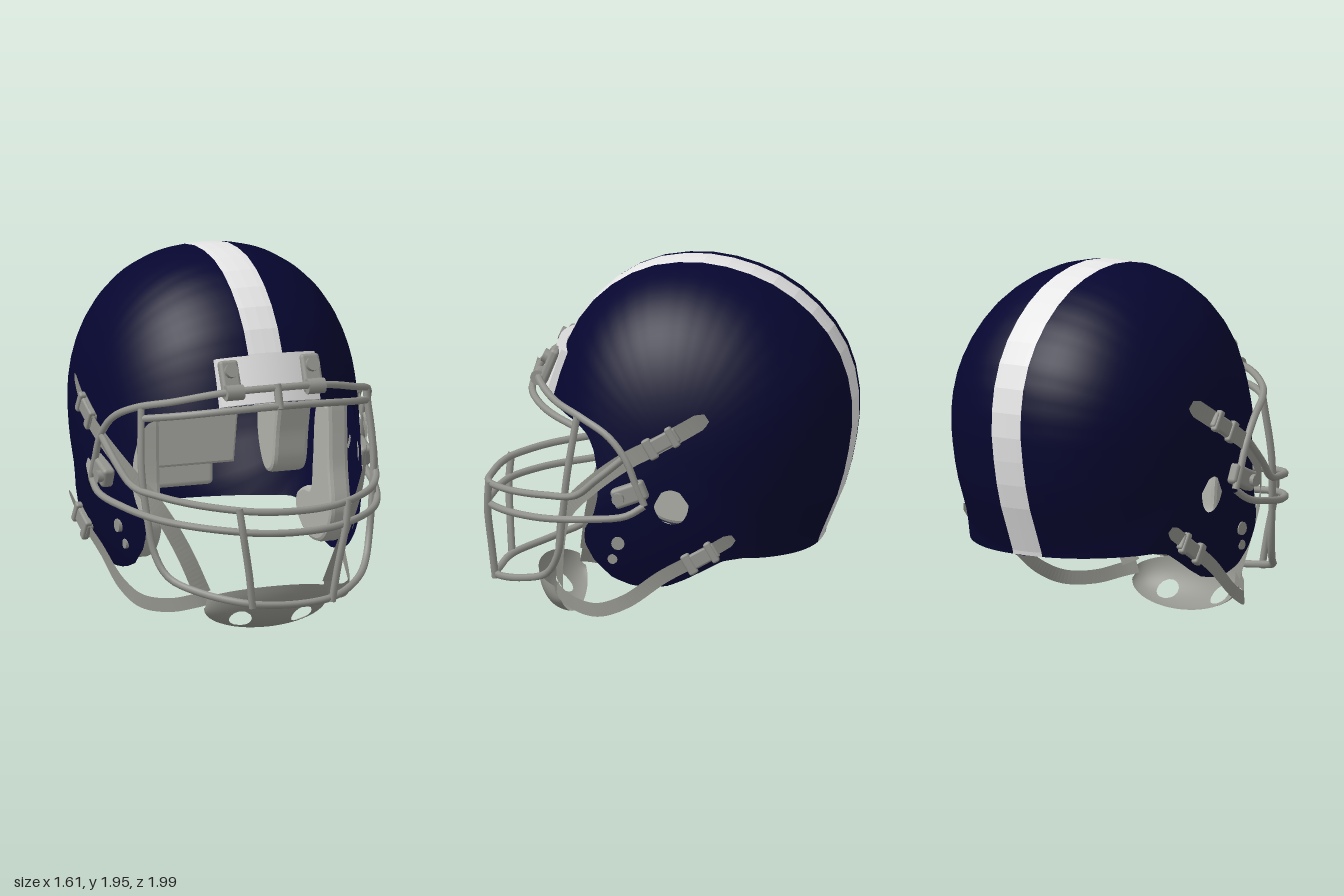
import * as THREE from 'three';
import { mergeVertices } from 'three/addons/utils/BufferGeometryUtils.js';
import { RoundedBoxGeometry } from 'three/addons/geometries/RoundedBoxGeometry.js';

const mat = (name, color, side = THREE.FrontSide) =>
  Object.assign(new THREE.MeshStandardMaterial({ color, side }), { name });
const V = (x, y, z) => new THREE.Vector3(x, y, z);

// signed distance to a polygon, positive inside
function inside(poly, px, py) {
  let d = Infinity, sign = -1;
  for (let i = 0, j = poly.length - 1; i < poly.length; j = i++) {
    const [ax, ay] = poly[i], [bx, by] = poly[j];
    const ex = bx - ax, ey = by - ay;
    const t = Math.min(1, Math.max(0, ((px - ax) * ex + (py - ay) * ey) / (ex * ex + ey * ey)));
    d = Math.min(d, Math.hypot(px - ax - ex * t, py - ay - ey * t));
    if ((ay > py) !== (by > py) && px < ax + ex * (py - ay) / ey) sign = -sign;
  }
  return d * sign;
}

// surface grid f(i, j), trimmed to where every rule is positive
function trimmedGrid(f, nu, nv, rules, smooth) {
  const out = [];
  const addTriangle = (...corners) => {
    let poly = corners;
    for (const rule of rules) {
      const next = [];
      poly.forEach((a, i) => {
        const b = poly[(i + 1) % poly.length], fa = rule(a), fb = rule(b);
        if (fa >= 0) next.push(a);
        if ((fa >= 0) !== (fb >= 0)) next.push(a.clone().lerp(b, fa / (fa - fb)));
      });
      poly = next;
    }
    for (let i = 1; i + 1 < poly.length; i++)
      if (new THREE.Triangle(poly[0], poly[i], poly[i + 1]).getArea() > 1e-8)
        [poly[0], poly[i], poly[i + 1]].forEach(p => out.push(p.x, p.y, p.z));
  };
  for (let i = 0; i < nu; i++) for (let j = 0; j < nv; j++) {
    const a = f(i, j), b = f(i + 1, j), c = f(i + 1, j + 1), d = f(i, j + 1);
    addTriangle(a, b, c);
    addTriangle(a, c, d);
  }
  let geo = new THREE.BufferGeometry();
  geo.setAttribute('position', new THREE.Float32BufferAttribute(out, 3));
  if (smooth) geo = mergeVertices(geo, 1e-4);
  geo.computeVertexNormals();
  return geo;
}

export function createModel() {
  const model = new THREE.Group();
  model.name = 'helmet';
  const navy = mat('navy shell', 0x060630, THREE.DoubleSide);
  const white = mat('white stripe', 0xe6e6e6, THREE.DoubleSide);
  const grey = mat('grey hardware', 0x94948f);
  const strapGrey = mat('grey strap', 0x95958f, THREE.DoubleSide);
  const padGrey = mat('pad grey', 0xb0b0aa);
  const add = (name, geo, material, x = 0, y = 0, z = 0, rx = 0) => {
    const m = new THREE.Mesh(geo, material);
    m.name = name;
    m.position.set(x, y, z);
    m.rotation.x = rx;
    model.add(m);
    return m;
  };

  // shell: midline outline (z, y) swept toward both sides
  const outline = [[.55, 1.5], [.63, 1.25], [.68, 1], [.72, .7], [.74, .3], [.5, -.1], [.1, -.25], [-.4, -.15],
    [-.72, .1], [-.81, .45], [-.93, .75], [-.985, 1], [-1, 1.2], [-.95, 1.45], [-.82, 1.66], [-.6, 1.84],
    [-.35, 1.935], [-.13, 1.96], [.12, 1.92], [.33, 1.8], [.47, 1.65]];
  const spine = new THREE.CatmullRomCurve3(outline.map(([z, y]) => V(0, y, z)), true).getSpacedPoints(48);
  const centre = V(0, 1.05, -.15), sub = 3, nu = 48 * sub, nv = 48;
  const surface = k => (i, j) => {
    const c = Math.floor(i / sub) % 48;
    const p = spine[c].clone().lerp(spine[c + 1], (i % sub) / sub).sub(centre);
    const t = (j / nv - .5) * Math.PI, s = Math.sin(t);
    p.multiplyScalar(Math.max(0, Math.cos(t)) ** .89);
    p.x = .74 * Math.sign(s) * Math.abs(s) ** .89;
    return p.multiplyScalar(k).add(centre);
  };
  const edge = [[-1.5, .44], [-.81, .45], [-.5, .48], [-.4, .465], [-.3, .41], [-.2, .355], [-.1, .31], [0, .295],
    [.1, .305], [.2, .34], [.3, .43], [.35, .52], [.355, .6], [.3, .68], [.275, .78], [.275, .92], [.3, 1.04],
    [.34, 1.12], [.42, 1.17], [.6, 1.22], [1, 1.25], [1, 3], [-1.5, 3]];
  const cut = p => inside(edge, p.z, p.y);
  const earHole = p => Math.hypot(p.z + .135, p.y - .765) - .098;
  add('shell', trimmedGrid(surface(1), nu, nv, [cut, earHole, p => Math.abs(p.x) - .098], true), navy);
  add('stripe', trimmedGrid(surface(1), nu, nv, [cut, p => .098 - Math.abs(p.x)], false), white);
  add('shellLining', trimmedGrid(surface(.975), nu, nv, [cut, earHole], true), navy);

  // bumper plate bent round the brow
  const plate = new THREE.BoxGeometry(.57, .26, .045, 10, 1, 1);
  const pp = plate.attributes.position;
  for (let i = 0; i < pp.count; i++) pp.setZ(i, pp.getZ(i) - .7 * pp.getX(i) ** 2);
  plate.computeVertexNormals();
  add('browBumper', plate, white, 0, 1.375, .622, -.32);

  // face guard bars, half paths mirrored across the middle
  const tube = (name, pts, r = .02) =>
    add(name, new THREE.TubeGeometry(new THREE.CatmullRomCurve3(pts), pts.length * 5, r, 7), grey);
  const bars = {
    upperBrowBar: [[0, 1.34, .71], [.3, 1.325, .665], [.53, 1.27, .53], [.67, 1.22, .36], [.74, 1.14, .2],
      [.765, 1.02, .1], [.77, .9, .05], [.77, .78, 0]],
    lowerBrowBar: [[0, 1.245, .745], [.3, 1.23, .69], [.5, 1.2, .57], [.65, 1.165, .4]],
    lowerFrame: [[0, .205, .93], [.23, .22, .905], [.45, .265, .73], [.57, .33, .57], [.62, .45, .5], [.65, .65, .47],
      [.67, .9, .44], [.65, 1.22, .39]],
    upperMouthBar: [[0, .72, .975], [.17, .725, .965], [.3, .735, .925], [.5, .755, .77], [.63, .775, .57],
      [.7, .8, .39], [.74, .9, .27], [.765, 1.03, .12]],
    lowerMouthBar: [[0, .605, .975], [.17, .61, .965], [.3, .62, .925], [.5, .635, .77], [.64, .65, .56],
      [.73, .68, .32], [.775, .72, .1], [.77, .78, 0]]
  };
  for (const [name, half] of Object.entries(bars)) {
    const left = half.map(p => V(...p));
    tube(name, [...half.slice(1).reverse().map(([x, y, z]) => V(-x, y, z)), ...left]);
  }
  tube('browLink', [V(0, 1.36, .71), V(0, 1.23, .75)], .023);

  // chin cup
  const cup = (i, j) => {
    const s = Math.sin((i / 32 - .5) * Math.PI), k = Math.sqrt(Math.max(0, 1 - s * s));
    const a = j / 14 * Math.PI / 2;
    return V(.35 * s, .2 + .065 * k - (.06 + .2 * k) * Math.sin(a), .5 + .04 * (1 - k) + (.03 + .18 * k) * Math.cos(a));
  };
  const cupHole = p => Math.hypot(Math.abs(p.x) - .175, p.y - .085, p.z - .62) - .062;
  add('chinCup', trimmedGrid(cup, 32, 14, [cupHole], true), strapGrey);

  // flat strap along a path, facing away from the middle, with a rounded first end
  const strap = (name, pts, w) => {
    const curve = new THREE.CatmullRomCurve3(pts), n = 60;
    const at = (i, j) => {
      const u = i / n, p = curve.getPointAt(u), dir = V(p.x, 0, p.z).normalize();
      const side = curve.getTangentAt(u).cross(dir).normalize();
      return p.addScaledVector(side, (j - .5) * w * Math.sqrt(Math.min(1, .25 + u * 24)));
    };
    add(name, trimmedGrid(at, n, 1, [], false), strapGrey);
  };
  // pad cut from a side outline (z, y)
  const sidePad = (name, pts, s, x, depth) => {
    const shape = new THREE.Shape();
    shape.moveTo(...pts[0]);
    shape.splineThru([...pts.slice(1), pts[0]].map(p => new THREE.Vector2(...p)));
    const geo = new THREE.ExtrudeGeometry(shape, { depth, curveSegments: 24, bevelSize: .02, bevelThickness: .025, bevelSegments: 2 });
    geo.rotateY(-Math.PI / 2);
    add(name, geo, padGrey, s > 0 ? x + depth : -x);
  };
  const screw = (name, r, len, x, y, z) => {
    const geo = new THREE.CylinderGeometry(r, r, len, 12).rotateZ(Math.PI / 2);
    add(name, geo, grey, x, y, z);
  };

  for (const s of [1, -1]) {
    const path = pts => pts.map(([x, y, z]) => V(s * x, y, z));
    tube('mouthUpright', path([[.315, .75, .935], [.295, .6, .945], [.255, .38, .93], [.23, .2, .915]]));

    // brow clips
    add('browClip', new RoundedBoxGeometry(.11, .21, .05, 2, .02), grey, s * .235, 1.385, .62, -.4);
    add('browClipLoop', new THREE.CylinderGeometry(.042, .042, .1, 10).rotateZ(Math.PI / 2), grey, s * .235, 1.325, .675);
    add('browScrew', new THREE.CylinderGeometry(.038, .038, .04, 12).rotateX(Math.PI / 2), grey, s * .235, 1.435, .635, -.4);

    // side clips and jaw screws
    add('sideClip', new RoundedBoxGeometry(.07, .11, .19, 2, .02), grey, s * .745, .835, .085, .38);
    screw('sideScrew', .033, .04, s * .785, .815, .14);
    screw('jawScrewUpper', .036, .08, s * .655, .545, .16);
    screw('jawScrewLower', .027, .08, s * .625, .45, .195);

    // chin straps
    strap('upperStrap', path([[.73, 1.27, -.33], [.755, 1.18, -.18], [.77, 1.1, -.04], [.76, 1.02, .1], [.69, .86, .3],
      [.58, .68, .46], [.46, .45, .52], [.36, .22, .54]]), .095);
    strap('lowerStrap', path([[.7, .61, -.47], [.7, .49, -.28], [.68, .37, -.08], [.65, .22, .12], [.6, .15, .28],
      [.5, .145, .42], [.4, .18, .53], [.33, .2, .56]]), .075);
    // buckles
    for (const [x, y, z] of [[.76, 1.13, -.09], [.695, .49, -.29]]) {
      const put = (name, along, h, len, out) => add(name, new RoundedBoxGeometry(.04, h, len, 2, .012), grey,
        s * (x + out), y - along * Math.sin(.54), z + along * Math.cos(.54), .54);
      put('buckleBase', 0, .085, .2, 0);
      put('buckleFront', .07, .12, .05, .01);
      put('buckleRear', -.07, .12, .04, .01);
    }

    // inside pads
    sidePad('jawPad', [[.24, 1.1], [.25, .8], [.28, .55], [.18, .4], [.02, .37], [-.13, .44], [-.17, .54], [-.08, .6],
      [.03, .62], [.06, .8], [.1, 1.08]], s, .51, .07);
    sidePad('sidePad', [[-.22, 1.16], [-.28, .9], [-.32, .7], [-.42, .68], [-.5, .85], [-.49, 1.08], [-.38, 1.18]], s, .43, .15);
  }

  // rear pads
  const back = new THREE.Shape([[-.34, .66], [.34, .66], [.36, .9], [.35, 1.07], [.3, 1.11], [.2, 1.1], [0, 1.06],
    [-.2, 1.1], [-.3, 1.11], [-.35, 1.07], [-.36, .9]].map(p => new THREE.Vector2(...p)));
  add('backPad', new THREE.ExtrudeGeometry(back, { depth: .06, bevelSize: .015, bevelThickness: .02, bevelSegments: 2 }),
    padGrey, 0, 0, -.77);
  add('neckPad', new RoundedBoxGeometry(.5, .16, .08, 2, .03), padGrey, 0, .605, -.765);
  return model;
}
